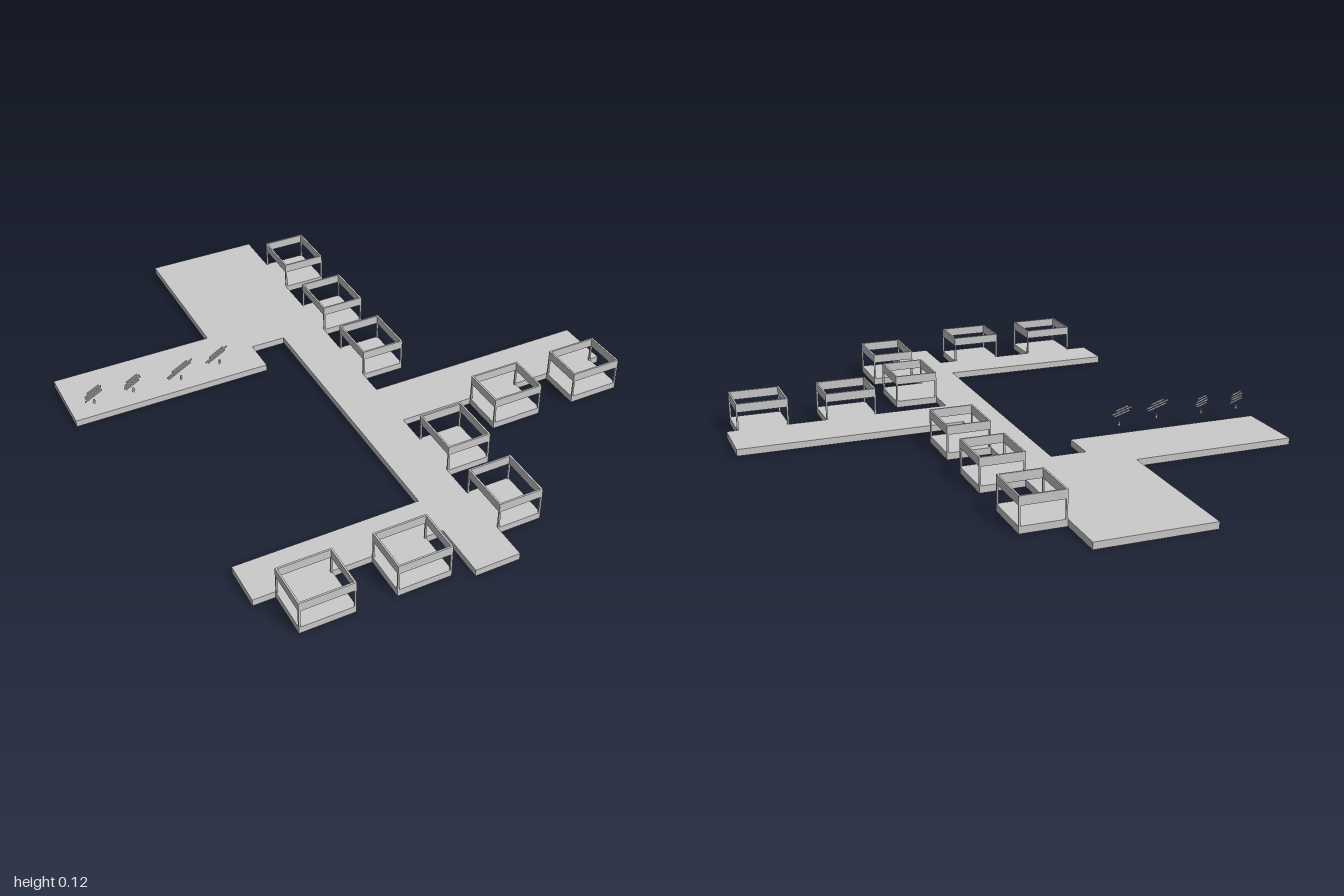
import * as THREE from 'three';

const FLOOR = 0.024, RAIL_LOW = 0.088, RAIL_TOP = 0.119;
const grey = new THREE.MeshStandardMaterial({ color: 0xcccccc, flatShading: true });

function box(parent, name, w, h, d, x, y, z) {
  const mesh = new THREE.Mesh(new THREE.BoxGeometry(w, h, d), grey);
  mesh.name = name;
  mesh.position.set(x, y, z);
  parent.add(mesh);
  return mesh;
}

function polygon(points) {
  return new THREE.Shape(points.map(([x, y]) => new THREE.Vector2(x, y)));
}

// Walkways: one plan outline (x, z) raised to floor height
function walkway() {
  const outline = [
    [-0.315, -1], [0.09, -1], [0.09, 0.095], [0.89, 0.095], [0.89, 0.285], [0.09, 0.285],
    [0.09, 1], [-0.065, 1], [-0.065, 0.81], [-0.7, 0.81], [-0.7, 0.66], [-0.065, 0.66],
    [-0.065, -0.335], [-0.19, -0.335], [-0.19, -0.21], [-0.895, -0.21], [-0.895, -0.46], [-0.315, -0.46],
  ];
  const geo = new THREE.ExtrudeGeometry(polygon(outline.map(([x, z]) => [x, -z])), { depth: FLOOR, bevelEnabled: false });
  geo.rotateX(-Math.PI / 2);
  const mesh = new THREE.Mesh(geo, grey);
  mesh.name = 'walkway';
  return mesh;
}

// Open booth: floor slab, four corner posts and a hollow fascia frame
function booth(x, z, w, d) {
  const g = new THREE.Group();
  g.name = 'booth';
  g.position.set(x, 0, z);
  box(g, 'boothFloor', w, FLOOR, d, 0, FLOOR / 2, 0);
  const t = 0.006, h = RAIL_TOP - RAIL_LOW, y = (RAIL_TOP + RAIL_LOW) / 2;
  for (const s of [-1, 1]) {
    box(g, 'fascia', w, h, t, 0, y, s * (d - t) / 2);
    box(g, 'fascia', t, h, d - 2 * t, s * (w - t) / 2, y, 0);
    for (const r of [-1, 1])
      box(g, 'post', t, RAIL_LOW - FLOOR, t, s * (w - t) / 2, (RAIL_LOW + FLOOR) / 2, r * (d - t) / 2);
  }
  return g;
}

// Floating marker: blank strips above a downward arrow
function marker(x, z, arrowX, width, rows) {
  const g = new THREE.Group();
  g.name = 'marker';
  g.position.set(x, 0, z);
  g.rotation.y = Math.PI / 6;
  rows.forEach((fraction, i) => {
    box(g, 'markerStrip', width * fraction, 0.005, 0.003, 0, 0.122 - i * 0.009, 0);
  });
  const arrow = polygon([[0, 0.06], [0.008, 0.071], [0.003, 0.071], [0.003, 0.081],
    [-0.003, 0.081], [-0.003, 0.071], [-0.008, 0.071]]);
  const geo = new THREE.ExtrudeGeometry(arrow, { depth: 0.003, bevelEnabled: false });
  const mesh = new THREE.Mesh(geo, grey);
  mesh.name = 'markerArrow';
  mesh.position.set((arrowX - x) / Math.cos(Math.PI / 6), 0, -0.0015);
  g.add(mesh);
  return g;
}

export function createModel() {
  const model = new THREE.Group();
  model.name = 'exhibitionLayout';
  model.add(walkway());

  // Booths along the main walkway
  for (const z of [-0.735, -0.405, -0.095, 0.485, 0.785]) model.add(booth(0.1675, z, 0.155, 0.183));
  // Booths in front of the side arms
  for (const x of [0.445, 0.762]) model.add(booth(x, 0.361, 0.183, 0.152));
  for (const x of [-0.535, -0.218]) model.add(booth(x, 0.888, 0.183, 0.156));

  // Markers along the left arm
  model.add(marker(-0.82, -0.225, -0.82, 0.083, [0.7, 0.95, 0.9, 1]));
  model.add(marker(-0.682, -0.225, -0.68, 0.083, [0.65, 0.9, 1, 0.8]));
  model.add(marker(-0.513, -0.215, -0.51, 0.132, [0.6, 1, 0.9]));
  model.add(marker(-0.368, -0.235, -0.355, 0.118, [0.65, 1, 0.8]));
  return model;
}
